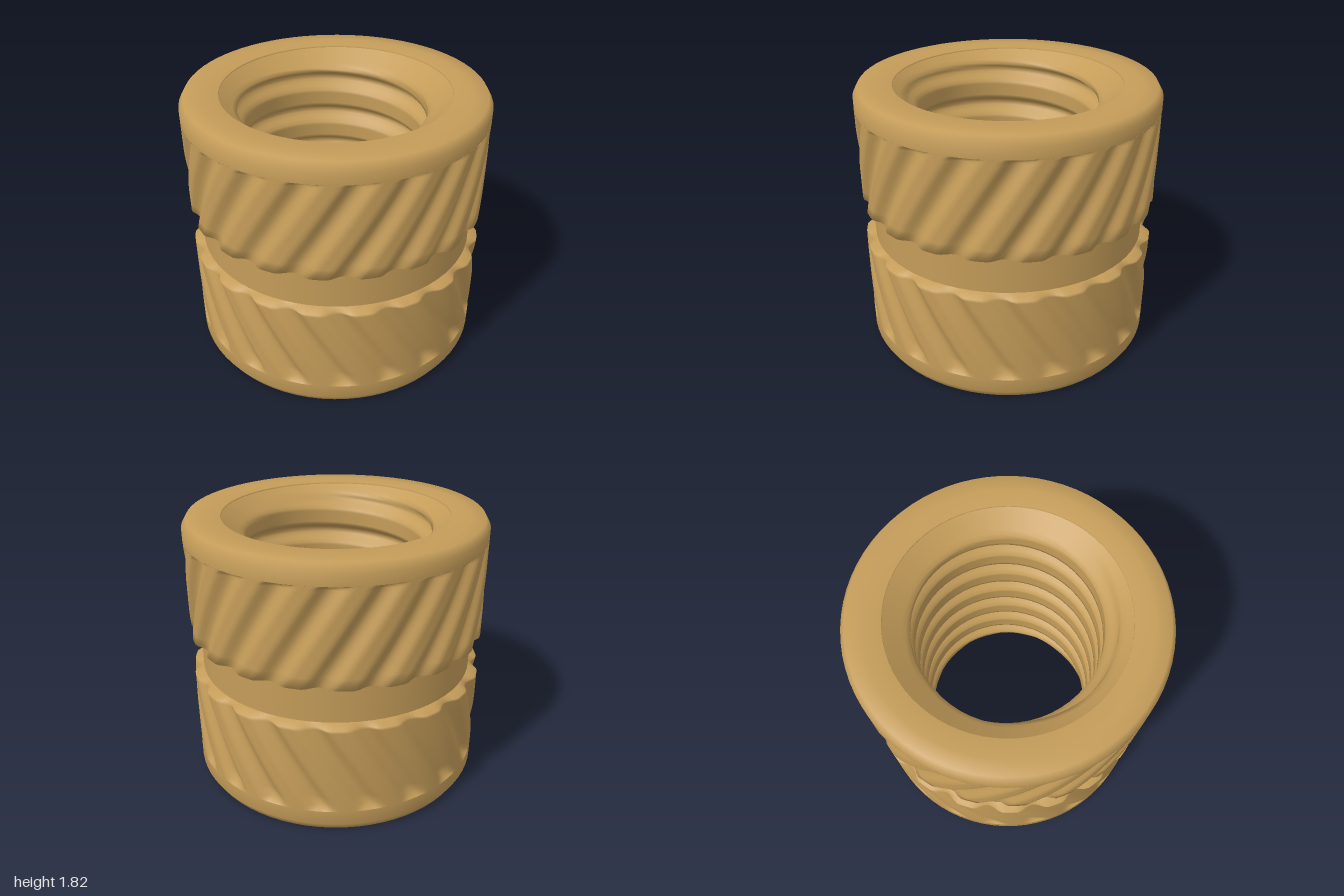
import * as THREE from 'three';

const HEIGHT = 1.82;

// Ring-shaped surface: point(i, j) gives [angle, radius, y]; closing the ring moves up by `shift` rows
function ringSurface(cols, rows, point, { shift = 0, inward = false } = {}) {
  const positions = [], index = [];
  for (let j = 0; j < rows; j++) {
    for (let i = 0; i < cols; i++) {
      const [a, r, y] = point(i, j);
      positions.push(r * Math.sin(a), y, r * Math.cos(a));
    }
  }
  const id = (i, j) => (i < cols ? j * cols + i : (j + shift) * cols);
  for (let j = 0; j < rows - 1 - shift; j++) {
    for (let i = 0; i < cols; i++) {
      const a = id(i, j), b = id(i + 1, j), c = id(i + 1, j + 1), d = id(i, j + 1);
      if (inward) index.push(a, c, b, a, d, c);
      else index.push(a, b, c, a, c, d);
    }
  }
  const geometry = new THREE.BufferGeometry();
  geometry.setAttribute('position', new THREE.Float32BufferAttribute(positions, 3));
  geometry.setIndex(index);
  geometry.computeVertexNormals();
  return geometry;
}

// Band of slanted grooves; rows are [y, radius, groove depth] from bottom to top
function knurlBand(rows, slope, phase) {
  const grooves = 20, steps = 12, cols = grooves * steps;
  const middle = (rows[0][0] + rows[rows.length - 1][0]) / 2;
  return ringSurface(cols, rows.length, (i, j) => {
    const [y, radius, depth] = rows[j];
    const cut = Math.max(0, Math.cos((i / steps) * Math.PI * 2) + 0.3) / 1.3;
    return [(i / cols) * Math.PI * 2 + phase + slope * (y - middle), radius - depth * cut, y];
  });
}

// Bore wall: a helical thread that opens into a conical countersink at each end
function boreGeometry() {
  const pitch = 0.26, cols = 56, steps = 13, low = 0.015, high = HEIGHT - 0.015;
  const turns = Math.ceil(HEIGHT / pitch) + 4;
  const threadRadius = (t) => {
    if (t < 0.46) return 0.597;
    if (t < 0.69) return 0.597 + ((t - 0.46) / 0.23) * 0.07;
    if (t < 0.84) return 0.667;
    return 0.667 - ((t - 0.84) / 0.16) * 0.07;
  };
  return ringSurface(cols, turns * steps, (i, j) => {
    const raw = 0.02 + (j / steps - 2 + i / cols) * pitch;
    const y = THREE.MathUtils.clamp(raw, low, high);
    const cone = 0.75 - Math.min(y - low, high - y) * 1.35;
    return [(i / cols) * Math.PI * 2, Math.max(threadRadius((j % steps) / steps), cone), y];
  }, { shift: steps, inward: true });
}

const lathe = (points) =>
  new THREE.LatheGeometry(points.map(([r, y]) => new THREE.Vector2(r, y)), 72);

export function createModel() {
  const group = new THREE.Group();
  const brass = new THREE.MeshStandardMaterial({ color: 0xc49c59, side: THREE.DoubleSide });
  brass.name = 'brass';

  const add = (name, geometry) => {
    const mesh = new THREE.Mesh(geometry, brass);
    mesh.name = name;
    group.add(mesh);
  };

  // Chamfered end rims, from the knurl round to the short inner lip
  const rim = (edge) => [[1, edge], [1, 0.055], [0.968, 0], [0.87, 0], [0.75, 0.003], [0.75, 0.018]];
  add('bottomRim', lathe(rim(0.155).reverse()));
  add('topRim', lathe(rim(0.13).map(([r, y]) => [r, HEIGHT - y])));

  // Smooth waist between the two knurled bands
  add('waist', lathe([[0.935, 0.76], [0.935, 1.06]]));

  // Knurled bands slanting opposite ways
  const depth = 0.042, slope = 0.62;
  const lower = [[0.155, 1, 0], [0.185, 1, depth]];
  for (let k = 1; k <= 8; k++) lower.push([0.185 + k * 0.07, 1, depth]);
  lower.push([0.765, 1, depth], [0.785, 0.934, 0]);
  add('lowerKnurl', knurlBand(lower, -slope, -0.13));

  const upper = [[1.025, 0.934, 0], [1.04, 1, depth]];
  for (let k = 1; k <= 8; k++) upper.push([1.04 + k * 0.077, 1, depth]);
  upper.push([1.675, 1, depth], [1.69, 1, 0]);
  add('upperKnurl', knurlBand(upper, slope, -0.07));

  // Threaded bore with countersunk mouths
  add('boreThread', boreGeometry());

  return group;
}
